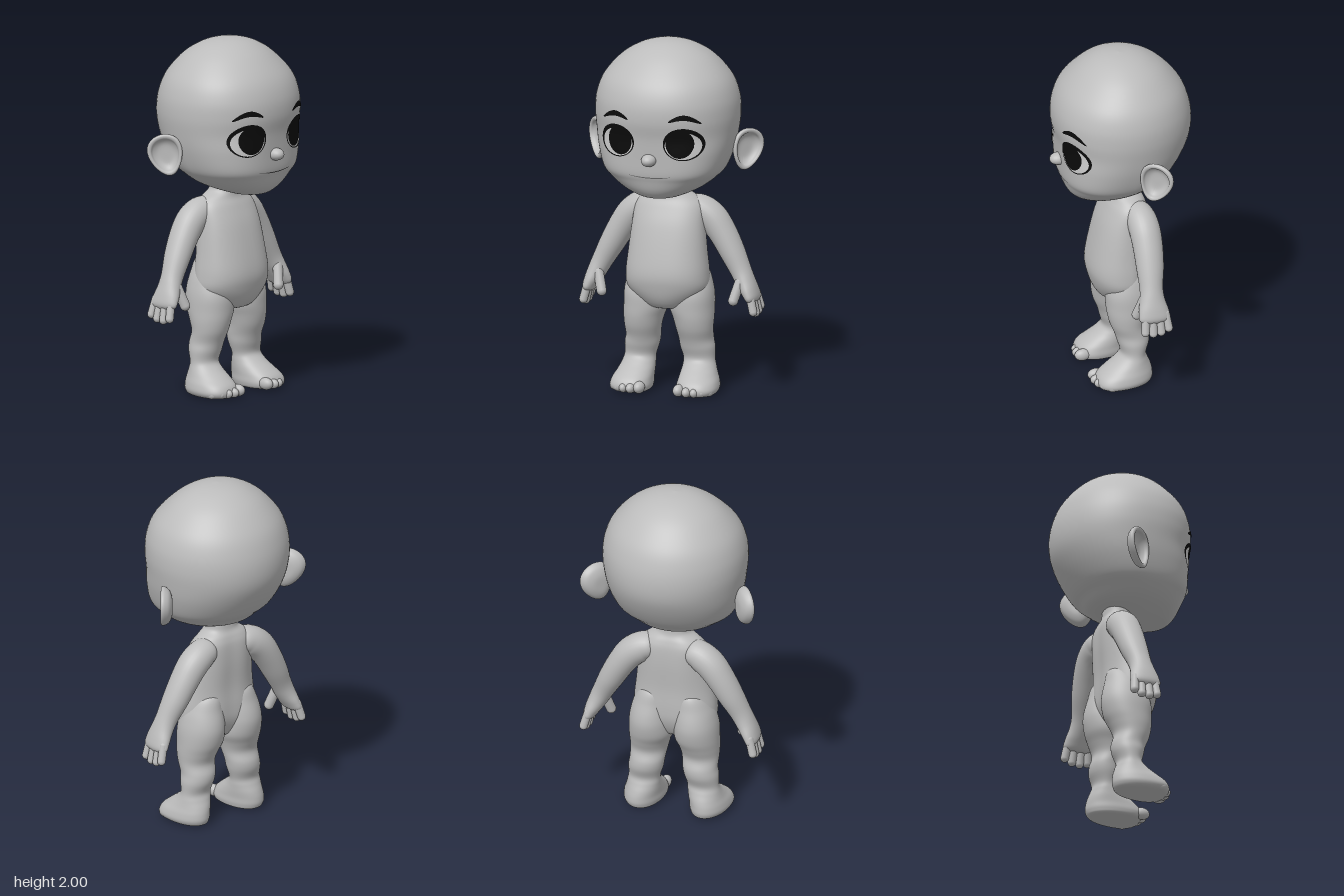
import * as THREE from 'three';

function material(name, color) {
  const m = new THREE.MeshStandardMaterial({ color });
  m.name = name;
  return m;
}
const skin = material('skin grey', 0xbcbcbc);
const black = material('eye black', 0x0b0b0b);
const pale = material('eye pale grey', 0xcecece);
const dark = material('mouth grey', 0x6c6c6c);

// Catmull-Rom smoothing of rows of numbers
function smooth(rows, steps) {
  const out = [], last = rows.length - 1;
  for (let i = 0; i < last; i++) {
    const p = rows[Math.max(i - 1, 0)], a = rows[i], b = rows[i + 1], q = rows[Math.min(i + 2, last)];
    for (let s = 0; s < steps; s++) {
      const t = s / steps;
      out.push(a.map((v, k) => v + 0.5 * t * (b[k] - p[k] +
        t * (2 * p[k] - 5 * v + 4 * b[k] - q[k] + t * (3 * (v - b[k]) + q[k] - p[k])))));
    }
  }
  out.push(rows[last]);
  return out;
}

// Surface through rings of points; closed rings wrap around
function surface(rings, closed = true) {
  const n = rings[0].length, idx = [];
  for (let i = 0; i < rings.length - 1; i++) {
    for (let j = 0; j < (closed ? n : n - 1); j++) {
      const k = (j + 1) % n, a = i * n + j, b = i * n + k;
      idx.push(a, a + n, b, b, a + n, b + n);
    }
  }
  const g = new THREE.BufferGeometry();
  g.setAttribute('position', new THREE.Float32BufferAttribute(rings.flat(2), 3));
  g.setIndex(idx);
  g.computeVertexNormals();
  return g;
}

const pw = (v, e) => Math.sign(v) * Math.abs(v) ** e;

// Horizontal slices, bottom to top: [y, centreX, halfWidth, frontZ, backZ, widestZ, frontExponent]
function slices(rows, n = 48, rule = (p) => p) {
  return surface(rows.map(([y, cx, rx, zf, zb, zc, e]) => Array.from({ length: n }, (_, j) => {
    const a = j / n * Math.PI * 2, front = Math.sin(a) > 0, k = 2 / (front ? e : 2);
    const s = pw(Math.sin(a), k);
    return rule([cx + Math.max(rx, 0) * pw(Math.cos(a), k), y, zc + s * (front ? zf - zc : zc - zb)]);
  })));
}

// Limb in a near-vertical plane: [x, y, z, radius, depthRadius]
function limb(rows, n = 28) {
  return surface(rows.map(([x, y, z, r, rz], i) => {
    const p = rows[Math.max(i - 1, 0)], q = rows[Math.min(i + 1, rows.length - 1)];
    const l = Math.hypot(q[0] - p[0], q[1] - p[1]), mx = (q[1] - p[1]) / l, my = -(q[0] - p[0]) / l;
    return Array.from({ length: n }, (_, j) => {
      const a = j / n * Math.PI * 2, c = Math.cos(a) * Math.max(r, 0);
      return [x + mx * c, y + my * c, z + Math.sin(a) * Math.max(rz, 0)];
    });
  }));
}

function capsule(a, b, r) {
  const A = new THREE.Vector3(...a), B = new THREE.Vector3(...b), d = B.clone().sub(A);
  const g = new THREE.CapsuleGeometry(r, d.length(), 6, 14);
  g.applyQuaternion(new THREE.Quaternion().setFromUnitVectors(new THREE.Vector3(0, 1, 0), d.clone().normalize()));
  return g.translate(...A.add(B).multiplyScalar(0.5).toArray());
}

function ball(x, y, z, rx, ry, rz) {
  return new THREE.SphereGeometry(1, 24, 16).scale(rx, ry, rz).translate(x, y, z);
}

function mirrored(geo) {
  const g = geo.clone().scale(-1, 1, 1), ix = g.index.array;
  for (let i = 0; i < ix.length; i += 3) [ix[i], ix[i + 1]] = [ix[i + 1], ix[i]];
  return g;
}

const headRows = smooth([
  [1.140, 0, 0.00, 0.19, 0.15, 0.17, 2],
  [1.144, 0, 0.09, 0.25, 0.08, 0.16, 2],
  [1.165, 0, 0.16, 0.285, -0.02, 0.13, 2.1],
  [1.20, 0, 0.235, 0.31, -0.165, 0.09, 2.2],
  [1.25, 0, 0.30, 0.328, -0.225, 0.05, 2.4],
  [1.30, 0, 0.34, 0.342, -0.278, 0.02, 2.65],
  [1.40, 0, 0.375, 0.349, -0.345, 0, 2.5],
  [1.50, 0, 0.395, 0.358, -0.39, 0, 2.2],
  [1.60, 0, 0.406, 0.375, -0.402, 0, 2.1],
  [1.70, 0, 0.397, 0.367, -0.387, 0, 2.1],
  [1.80, 0, 0.357, 0.325, -0.345, 0, 2.1],
  [1.90, 0, 0.27, 0.238, -0.26, 0, 2],
  [1.96, 0, 0.178, 0.155, -0.172, 0, 2],
  [1.99, 0, 0.09, 0.078, -0.088, 0, 2],
  [2.0, 0, 0, 0, 0, 0, 2],
], 6);

// Point just above the face at a given x and y
function onFace(x, y, lift) {
  const i = Math.max(1, headRows.findIndex((r) => r[0] >= y)), a = headRows[i - 1], b = headRows[i];
  const t = (y - a[0]) / (b[0] - a[0]);
  const [, , rx, zf, , zc, e] = a.map((v, k) => v + (b[k] - v) * t);
  return [x, y, zc + (zf - zc) * (1 - Math.min(1, Math.abs(x / rx)) ** e) ** (1 / e) + lift];
}

// Painted ring between two ellipses [x, y, rx, ry], from inner to outer
function faceRing(inner, outer, lift) {
  const rings = [];
  for (let i = 0; i <= 6; i++) {
    const [x, y, rx, ry] = outer.map((v, k) => inner[k] + (v - inner[k]) * i / 6);
    rings.push(Array.from({ length: 48 }, (_, j) => {
      const a = j / 48 * Math.PI * 2;
      return onFace(x + rx * Math.cos(a), y + ry * Math.sin(a), lift);
    }));
  }
  return surface(rings);
}

// Painted stroke from x0 to x1; mid and half give height and half thickness for t in 0..1
function faceStroke(x0, x1, mid, half) {
  const rings = [];
  for (let i = 0; i <= 24; i++) {
    const t = i / 24, x = x0 + (x1 - x0) * t;
    rings.push([-1, -0.5, 0, 0.5, 1].map((s) => onFace(x, mid(t) + s * half(t), 0.005)));
  }
  return surface(rings, false);
}

// Cupped ear with a rounded rim, broad at the top
function earGeometry() {
  const profile = [[0, -0.035], [0.05, -0.033], [0.088, -0.018], [0.106, 0.004], [0.11, 0.02], [0.102, 0.03],
    [0.088, 0.026], [0.078, 0.008], [0.05, -0.008], [0, -0.01]];
  const pts = new THREE.SplineCurve(profile.map((p) => new THREE.Vector2(...p))).getPoints(40);
  pts.forEach((p) => { p.x = Math.max(p.x, 0); });
  const g = new THREE.LatheGeometry(pts, 40).rotateX(Math.PI / 2), pos = g.attributes.position;
  for (let i = 0; i < pos.count; i++) {
    const y = pos.getY(i);
    pos.setXY(i, pos.getX(i) * (0.86 + 2 * y), y * 1.08);
  }
  g.computeVertexNormals();
  return g.rotateZ(-0.28).rotateY(0.88).translate(0.425, 1.385, -0.085);
}

export function createModel() {
  const model = new THREE.Group();
  const add = (name, geo, mat = skin) => {
    const m = new THREE.Mesh(geo, mat);
    m.name = name;
    model.add(m);
  };
  const pair = (name, geo, mat) => {
    add('left' + name, geo, mat);
    add('right' + name, mirrored(geo), mat);
  };

  // Head and face
  add('head', slices(headRows, 72));
  add('nose', ball(0, 1.383, 0.35, 0.042, 0.035, 0.052));
  add('mouth', faceStroke(-0.12, 0.12, (t) => 1.281 + 0.04 * (t - 0.5) ** 2,
    (t) => 0.001 + 0.002 * Math.sin(Math.PI * t)), dark);
  pair('Ear', earGeometry());
  pair('EyeWhite', faceRing([0.19, 1.475, 0, 0], [0.19, 1.475, 0.1, 0.082], 0.002), pale);
  pair('Lash', faceRing([0.19, 1.472, 0.096, 0.078], [0.192, 1.481, 0.108, 0.093], 0.004), black);
  pair('Iris', faceRing([0.174, 1.485, 0, 0], [0.174, 1.485, 0.075, 0.083], 0.005), black);
  pair('Brow', faceStroke(0.118, 0.285, (t) => 1.612 + 0.03 * Math.sin(Math.PI * t) - 0.012 * t,
    (t) => 0.002 + 0.013 * Math.max(0, Math.sin(Math.PI * t)) ** 0.6), black);

  // Torso and neck, with a shallow groove down the back
  add('torso', slices(smooth([
    [0.468, 0, 0, 0.03, 0.01, 0.02, 2],
    [0.485, 0, 0.11, 0.105, -0.07, 0.02, 2],
    [0.53, 0, 0.185, 0.145, -0.11, 0, 2],
    [0.60, 0, 0.233, 0.17, -0.138, 0, 2.2],
    [0.68, 0, 0.237, 0.18, -0.144, 0, 2.3],
    [0.80, 0, 0.224, 0.16, -0.142, 0, 2.3],
    [0.95, 0, 0.208, 0.122, -0.152, -0.01, 2.3],
    [1.05, 0, 0.195, 0.082, -0.15, -0.03, 2.2],
    [1.10, 0, 0.158, 0.058, -0.137, -0.035, 2],
    [1.135, 0, 0.103, 0.055, -0.12, -0.035, 2],
    [1.17, 0, 0.092, 0.057, -0.115, -0.03, 2],
    [1.24, 0, 0.09, 0.06, -0.11, -0.03, 2],
  ], 5), 64, ([x, y, z]) => [x, y, z < 0 ? z * (1 - 0.1 * Math.exp(-((x / 0.07) ** 2))) : z]));

  // Legs running down into the feet
  pair('Leg', slices(smooth([
    [0, 0.185, 0, 0.04, 0.02, 0.03, 2],
    [0.004, 0.187, 0.09, 0.165, -0.10, 0.06, 2.4],
    [0.03, 0.192, 0.115, 0.192, -0.128, 0.07, 2.5],
    [0.07, 0.19, 0.112, 0.18, -0.13, 0.05, 2.4],
    [0.11, 0.182, 0.102, 0.135, -0.122, 0.01, 2.2],
    [0.15, 0.176, 0.094, 0.082, -0.107, -0.02, 2],
    [0.19, 0.171, 0.09, 0.045, -0.097, -0.03, 2],
    [0.25, 0.162, 0.099, 0.058, -0.118, -0.03, 2],
    [0.30, 0.154, 0.099, 0.072, -0.12, -0.03, 2],
    [0.36, 0.15, 0.105, 0.096, -0.104, -0.01, 2],
    [0.42, 0.144, 0.115, 0.11, -0.125, -0.01, 2],
    [0.48, 0.133, 0.126, 0.115, -0.152, -0.02, 2.1],
    [0.55, 0.13, 0.127, 0.115, -0.167, -0.02, 2.1],
    [0.61, 0.127, 0.121, 0.10, -0.164, -0.02, 2],
    [0.68, 0.12, 0.108, 0.06, -0.147, -0.02, 2],
    [0.76, 0.11, 0.075, 0.02, -0.125, -0.03, 2],
    [0.80, 0.11, 0, -0.02, -0.06, -0.04, 2],
  ], 5)));
  [[0.115, 0.172, 0.034], [0.163, 0.18, 0.028], [0.206, 0.172, 0.027], [0.245, 0.15, 0.026], [0.277, 0.12, 0.025]]
    .forEach(([x, z, r], i) => pair('Toe' + (i + 1), ball(x, r + 0.005, z, r * 0.9, r, r * 1.35)));

  // Arms, palms and fingers
  pair('Arm', limb(smooth([
    [0.06, 1.025, -0.05, 0, 0],
    [0.10, 1.03, -0.055, 0.065, 0.075],
    [0.16, 1.025, -0.07, 0.083, 0.084],
    [0.23, 0.98, -0.076, 0.085, 0.087],
    [0.29, 0.90, -0.076, 0.079, 0.084],
    [0.35, 0.795, -0.07, 0.071, 0.077],
    [0.40, 0.70, -0.06, 0.06, 0.066],
    [0.43, 0.64, -0.055, 0.054, 0.072],
    [0.46, 0.58, -0.055, 0.045, 0.087],
    [0.48, 0.535, -0.058, 0.032, 0.082],
    [0.487, 0.515, -0.06, 0, 0],
  ], 5)));
  [[0.005, 0.476], [-0.041, 0.463], [-0.087, 0.467], [-0.13, 0.485]].forEach(([z, y], i) =>
    pair('Finger' + (i + 1), capsule([0.472, 0.57, z * 0.85 - 0.008], [0.495, y, z], 0.0235)));
  pair('Thumb', capsule([0.413, 0.64, -0.012], [0.384, 0.536, 0.02], 0.0285));

  return model;
}
